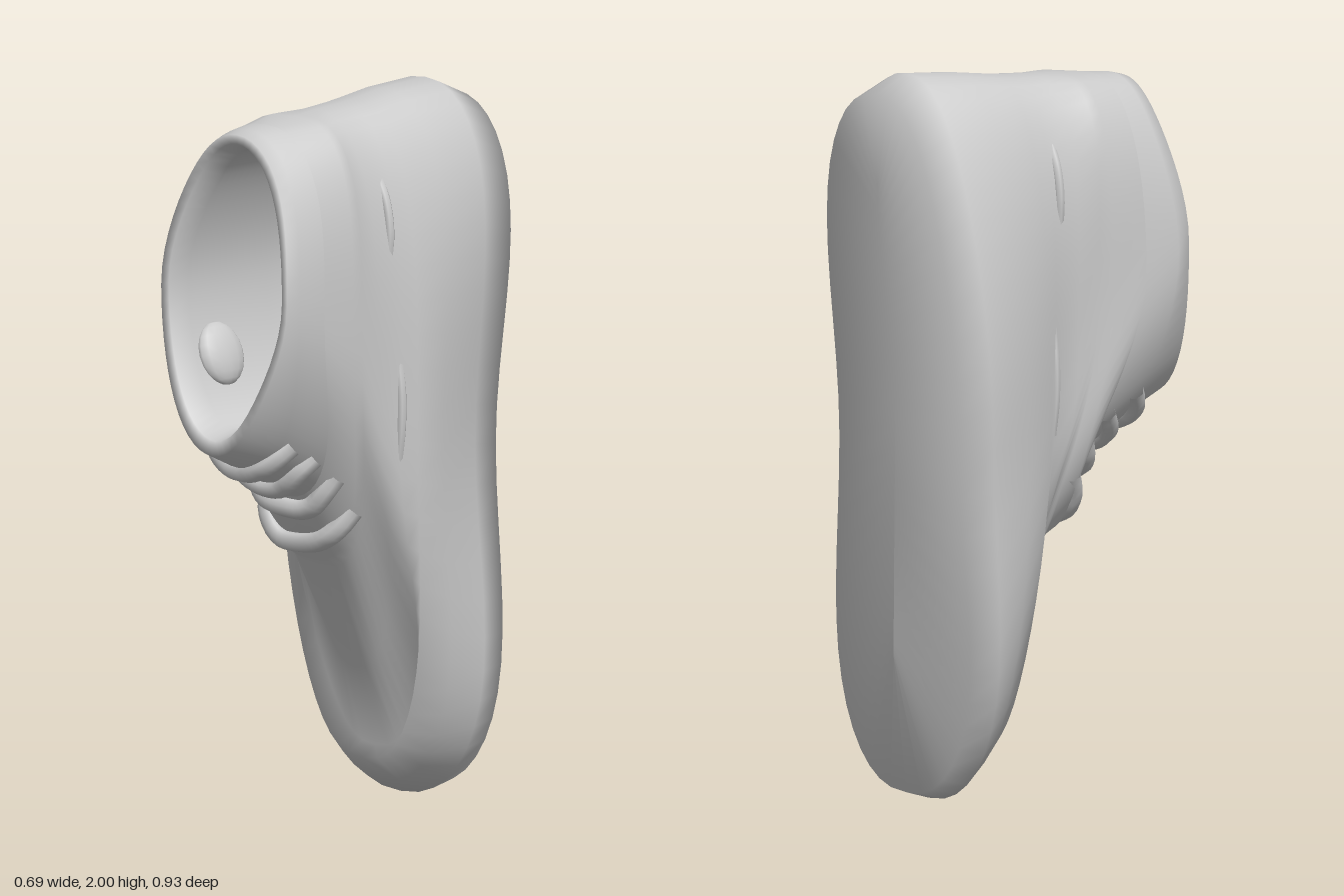
import * as THREE from 'three';

const SEG = 56;
const material = new THREE.MeshStandardMaterial({ color: 0xcccccc });

// Ring rows: toe y, heel y | centre x toe, mid, heel | half width toe, mid, heel | z toe, mid, heel | roundness
const outer = [
  [0.40, 1.70, 0, -0.02, 0.06, 0, 0, 0, -0.46, -0.47, -0.47, 1],              // sole centre
  [0.02, 1.95, 0.01, -0.04, 0.07, 0.42, 0.28, 0.34, -0.41, -0.47, -0.47, 0.8], // sole edge
  [0.00, 2.00, 0.00, -0.03, 0.075, 0.45, 0.30, 0.345, -0.34, -0.36, -0.36, 0.84],
  [0.05, 1.99, 0.02, 0.05, 0.07, 0.37, 0.29, 0.33, -0.25, -0.17, -0.20, 0.8],
  [0.12, 1.975, 0.03, 0.07, 0.075, 0.29, 0.27, 0.30, -0.165, -0.07, -0.08, 0.75], // rim crest
  [0.15, 1.97, 0.03, 0.085, 0.075, 0.26, 0.235, 0.29, -0.215, -0.02, -0.03, 0.75], // rim inner edge
  [0.38, 1.965, 0.04, 0.09, 0.075, 0.20, 0.235, 0.28, -0.13, 0.06, 0.06, 0.8],
  [0.68, 1.96, 0.04, 0.09, 0.08, 0.21, 0.235, 0.275, 0.005, 0.13, 0.13, 0.6],  // end of toe box
  [0.71, 1.96, 0.04, 0.09, 0.08, 0.23, 0.24, 0.275, 0.05, 0.17, 0.16, 0.6],    // step up to the quarters
  [0.90, 1.95, 0.07, 0.085, 0.08, 0.23, 0.245, 0.27, 0.17, 0.28, 0.26, 0.8],
];
const collar = [
  [0.99, 1.945, 0.075, 0.08, 0.08, 0.23, 0.252, 0.25, 0.33, 0.38, 0.33, 0.9],
  [1.05, 1.935, 0.075, 0.08, 0.08, 0.21, 0.245, 0.235, 0.46, 0.42, 0.37, 0.95], // collar crest
  [1.09, 1.91, 0.075, 0.08, 0.08, 0.19, 0.22, 0.20, 0.45, 0.415, 0.37, 1],
  [1.11, 1.885, 0.075, 0.07, 0.08, 0.18, 0.20, 0.175, 0.37, 0.35, 0.31, 1],
  [1.10, 1.885, 0.07, 0.07, 0.08, 0.19, 0.20, 0.18, 0.05, 0.05, 0.05, 1],
  [1.08, 1.885, 0.07, 0.07, 0.08, 0.19, 0.20, 0.18, -0.32, -0.32, -0.32, 1],
  [1.40, 1.60, 0.07, 0.07, 0.07, 0, 0, 0, -0.32, -0.32, -0.32, 1],            // insole
];
const upperRings = [...outer, ...collar.slice(0, 2)];

// Smooth blend of toe, middle and heel values along the foot
function blend(a, b, c, u) {
  return u < 0.5 ? THREE.MathUtils.lerp(a, b, THREE.MathUtils.smoothstep(u, 0, 0.5))
    : THREE.MathUtils.lerp(b, c, THREE.MathUtils.smoothstep(u, 0.5, 1));
}

function ringPoint(r, t) {
  const u = (1 - Math.cos(t)) / 2, s = Math.sin(t);
  const side = Math.sign(s) * Math.pow(Math.abs(s), r[11]);
  return new THREE.Vector3(
    blend(r[2], r[3], r[4], u) + side * blend(r[5], r[6], r[7], u),
    THREE.MathUtils.lerp(r[0], r[1], u),
    blend(r[8], r[9], r[10], u));
}

// Point between two rings; t = 0 is the toe, PI/2 the left side
function surfacePoint(level, t) {
  const i = Math.min(Math.floor(level), upperRings.length - 2);
  return ringPoint(upperRings[i], t).lerp(ringPoint(upperRings[i + 1], t), level - i);
}

function skin(rings) {
  const pos = [], index = [];
  rings.forEach((r, i) => {
    for (let j = 0; j < SEG; j++) {
      pos.push(...ringPoint(r, j / SEG * Math.PI * 2).toArray());
      if (i === rings.length - 1) continue;
      const a = i * SEG + j, b = i * SEG + (j + 1) % SEG;
      index.push(a, b, a + SEG, b, b + SEG, a + SEG);
    }
  });
  const g = new THREE.BufferGeometry();
  g.setAttribute('position', new THREE.Float32BufferAttribute(pos, 3));
  g.setIndex(index);
  g.computeVertexNormals();
  return g;
}

export function createModel() {
  const shoe = new THREE.Group();
  shoe.name = 'shoe';
  const add = (name, geometry) => {
    const mesh = new THREE.Mesh(geometry, material);
    mesh.name = name;
    shoe.add(mesh);
    return mesh;
  };
  const tube = (name, points, radius) =>
    add(name, new THREE.TubeGeometry(new THREE.CatmullRomCurve3(points), 20, radius, 7));

  // Sole, toe box and sides, then rolled collar with lining and insole
  add('soleAndUpper', skin(outer));
  add('collarAndLining', skin([outer[outer.length - 1], ...collar]));

  // Slack laces across the instep, their ends tucked into the upper
  [8.25, 8.8, 9.4, 10].forEach((level, k) => {
    const points = [];
    for (let i = -4; i <= 4; i++) {
      const p = surfacePoint(level + 0.03 * Math.sin(i * 1.3 + k * 2), i / 4 * 0.62);
      p.z += 0.01 - 0.045 * Math.pow(i / 4, 4);
      points.push(p);
    }
    tube('lace' + (k + 1), points, 0.03);
  });

  // Fold of the tongue inside the opening
  const fold = add('tongueFold', new THREE.SphereGeometry(1, 14, 10));
  fold.scale.set(0.035, 0.09, 0.08);
  fold.position.set(-0.085, 1.29, 0.27);
  fold.rotation.z = 0.35;

  // Slim raised seams, sunk into both sides of the upper
  for (const side of [1, -1]) {
    [[5.3, 2.14, 2.5], [4.9, 1.5, 1.83]].forEach(([level, from, to], k) => {
      const points = [0, 0.33, 0.67, 1].map((f, i) => {
        const p = surfacePoint(level, side * THREE.MathUtils.lerp(from, to, f));
        p.x -= side * (i % 3 ? 0.002 : 0.016);
        return p;
      });
      tube((side > 0 ? 'left' : 'right') + 'Seam' + (k + 1), points, 0.014);
    });
  }
  return shoe;
}
